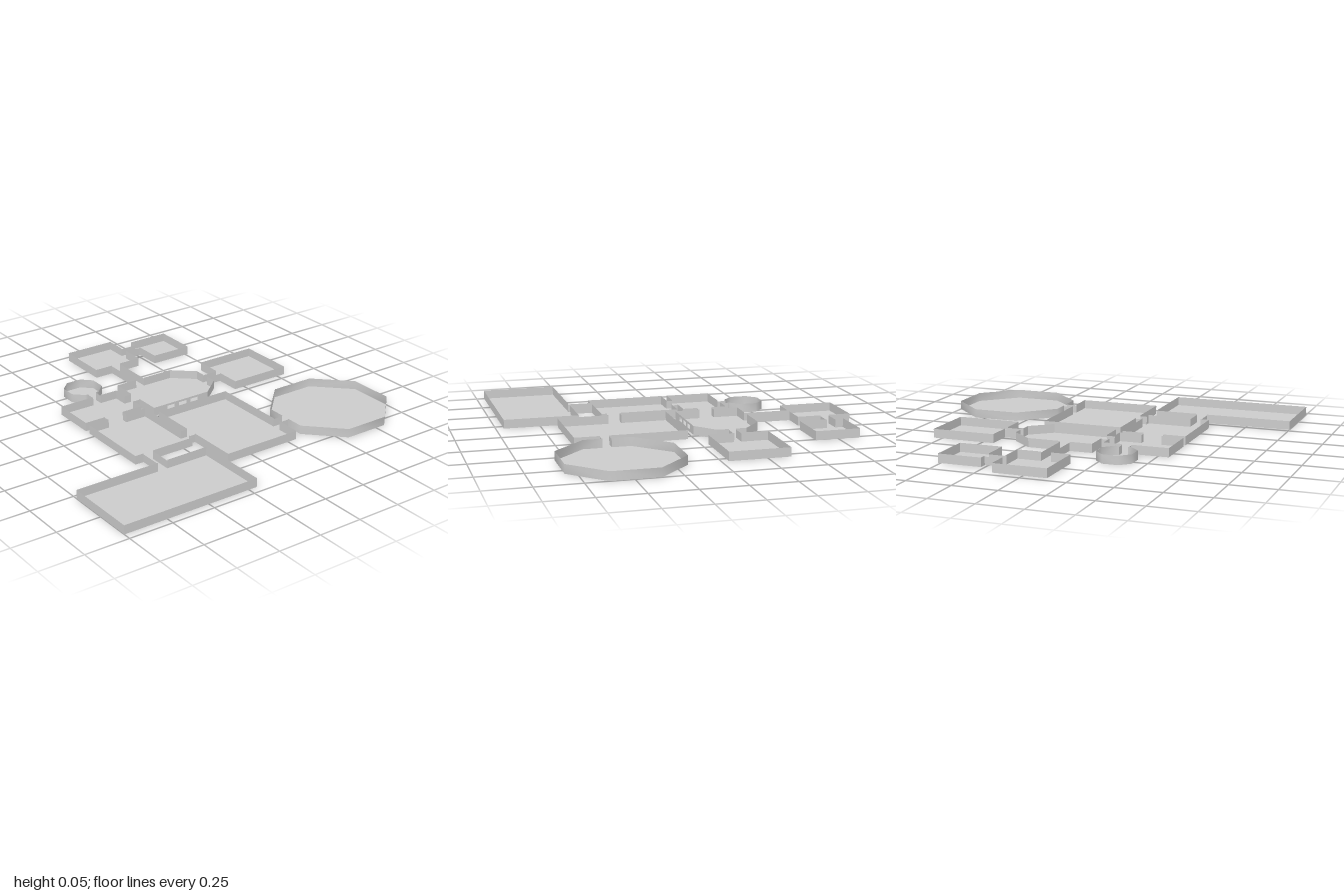
import * as THREE from 'three';
import { mergeGeometries, mergeVertices } from 'three/addons/utils/BufferGeometryUtils.js';

const HEIGHT = 0.05;
const CORRIDOR_HEIGHT = 0.045;
const V = (x, z) => new THREE.Vector2(x, z);

// outlines on the ground, as (x, z) points
const rect = (x0, x1, z0, z1) => [V(x0, z0), V(x1, z0), V(x1, z1), V(x0, z1)];
const octagon = (x0, xa, xb, x1, z0, za, zb, z1) => [
  V(xa, z0), V(xb, z0), V(x1, za), V(x1, zb), V(xb, z1), V(xa, z1), V(x0, zb), V(x0, za)];

const ROOMS = [
  { name: 'northRoom', outline: rect(-0.13, 0.17, -0.955, -0.645) },
  { name: 'northEastRoom', outline: rect(0.27, 0.515, -0.875, -0.62) },
  { name: 'centralRoom', windowEdge: 4, outline: [
    V(-0.15, -0.39), V(0.22, -0.39), V(0.34, -0.285), V(0.34, -0.12), V(0.22, -0.02), V(-0.15, -0.02)] },
  { name: 'eastRoom', outline: rect(0.435, 0.8, -0.375, -0.04) },
  { name: 'westRoom', outline: rect(-0.56, -0.195, -0.335, -0.08) },
  { name: 'smallOctagonRoom', smooth: true,
    outline: octagon(-0.425, -0.37, -0.28, -0.225, -0.585, -0.53, -0.44, -0.385) },
  { name: 'southWestRoom', outline: rect(-0.56, -0.195, -0.045, 0.4) },
  { name: 'mainHall', outline: rect(-0.155, 0.305, 0.035, 0.66) },
  { name: 'largeOctagonRoom', smooth: true,
    outline: octagon(0.365, 0.55, 0.81, 1, 0.18, 0.365, 0.625, 0.81) },
  { name: 'southRoom', outline: rect(-1, -0.2, 0.53, 0.955) },
];

// corridors: running axis, then x and z ranges
const CORRIDORS = [
  ['x', 0.17, 0.27, -0.83, -0.78],
  ['z', -0.02, 0.035, -0.645, -0.39],
  ['x', 0.34, 0.435, -0.225, -0.185],
  ['x', -0.195, -0.15, -0.25, -0.165],
  ['z', -0.35, -0.3, -0.385, -0.335],
  ['z', -0.435, -0.32, -0.08, -0.045],
  ['x', -0.195, -0.155, 0.295, 0.37],
  ['x', 0.305, 0.365, 0.47, 0.52],
  ['z', -0.51, -0.45, 0.4, 0.53],
];

// both open ends of every corridor are doorways
const DOORS = CORRIDORS.flatMap(([axis, x0, x1, z0, z1]) => axis === 'x'
  ? [[V(x0, z0), V(x0, z1)], [V(x1, z0), V(x1, z1)]]
  : [[V(x0, z0), V(x1, z0)], [V(x0, z1), V(x1, z1)]]);

// upright sheet from a to b, with optional window openings [start, end]
function wall(a, b, height, windows = []) {
  const length = a.distanceTo(b);
  const box = (s0, s1, y0, y1) => [V(s0, y0), V(s1, y0), V(s1, y1), V(s0, y1)];
  const shape = new THREE.Shape(box(0, length, 0, height));
  for (const [s0, s1] of windows) shape.holes.push(new THREE.Path(box(s0, s1, 0.015, 0.038)));
  const along = new THREE.Vector3(b.x - a.x, 0, b.y - a.y).normalize();
  const up = new THREE.Vector3(0, 1, 0);
  const matrix = new THREE.Matrix4().makeBasis(along, up, along.clone().cross(up)).setPosition(a.x, 0, a.y);
  return new THREE.ShapeGeometry(shape).applyMatrix4(matrix);
}

// wall along one edge, broken wherever a doorway lies on it
function wallsWithDoors(a, b, windows) {
  const length = a.distanceTo(b);
  const dir = b.clone().sub(a).divideScalar(length);
  const gaps = [];
  for (const ends of DOORS) {
    const local = ends.map((p) => p.clone().sub(a));
    const onEdge = local.every((p) => {
      const s = p.dot(dir);
      return Math.abs(p.cross(dir)) < 0.004 && s > -0.001 && s < length + 0.001;
    });
    if (onEdge) gaps.push(local.map((p) => p.dot(dir)).sort((p, q) => p - q));
  }
  gaps.sort((p, q) => p[0] - q[0]);
  const at = (s) => a.clone().addScaledVector(dir, s);
  const pieces = [];
  let start = 0;
  for (const [s0, s1] of [...gaps, [length, length]]) {
    if (s0 - start > 0.001) pieces.push(wall(at(start), at(s0), HEIGHT, windows));
    start = s1;
  }
  return pieces;
}

function floor(outline) {
  const shape = new THREE.Shape(outline.map((p) => V(p.x, -p.y)));
  return new THREE.ShapeGeometry(shape).rotateX(-Math.PI / 2);
}

export function createModel() {
  const model = new THREE.Group();
  model.name = 'floorPlan';
  const material = new THREE.MeshStandardMaterial({ color: 0xcccccc, side: THREE.DoubleSide });

  const add = (parent, name, geometry) => {
    const mesh = new THREE.Mesh(geometry, material);
    mesh.name = name;
    parent.add(mesh);
  };

  // rooms: floor sheet and a ring of thin walls
  for (const { name, outline, smooth, windowEdge } of ROOMS) {
    const room = new THREE.Group();
    room.name = name;
    const windows = [0.07, 0.15, 0.23].map((s) => [s, s + 0.05]);
    let walls = mergeGeometries(outline.flatMap((p, i) =>
      wallsWithDoors(p, outline[(i + 1) % outline.length], i === windowEdge ? windows : [])));
    if (smooth) {
      // shared corners give the octagons rounded shading
      walls.deleteAttribute('uv');
      walls.deleteAttribute('normal');
      walls = mergeVertices(walls, 1e-4);
      walls.computeVertexNormals();
    }
    add(room, 'floor', floor(outline));
    add(room, 'walls', walls);
    model.add(room);
  }

  // corridors: floor sheet and two side walls
  for (const [axis, x0, x1, z0, z1] of CORRIDORS) {
    const corridor = new THREE.Group();
    corridor.name = 'corridor';
    const sides = axis === 'x'
      ? [[V(x0, z0), V(x1, z0)], [V(x1, z1), V(x0, z1)]]
      : [[V(x0, z1), V(x0, z0)], [V(x1, z0), V(x1, z1)]];
    add(corridor, 'floor', floor(rect(x0, x1, z0, z1)));
    add(corridor, 'walls', mergeGeometries(sides.map(([a, b]) => wall(a, b, CORRIDOR_HEIGHT))));
    model.add(corridor);
  }
  return model;
}
